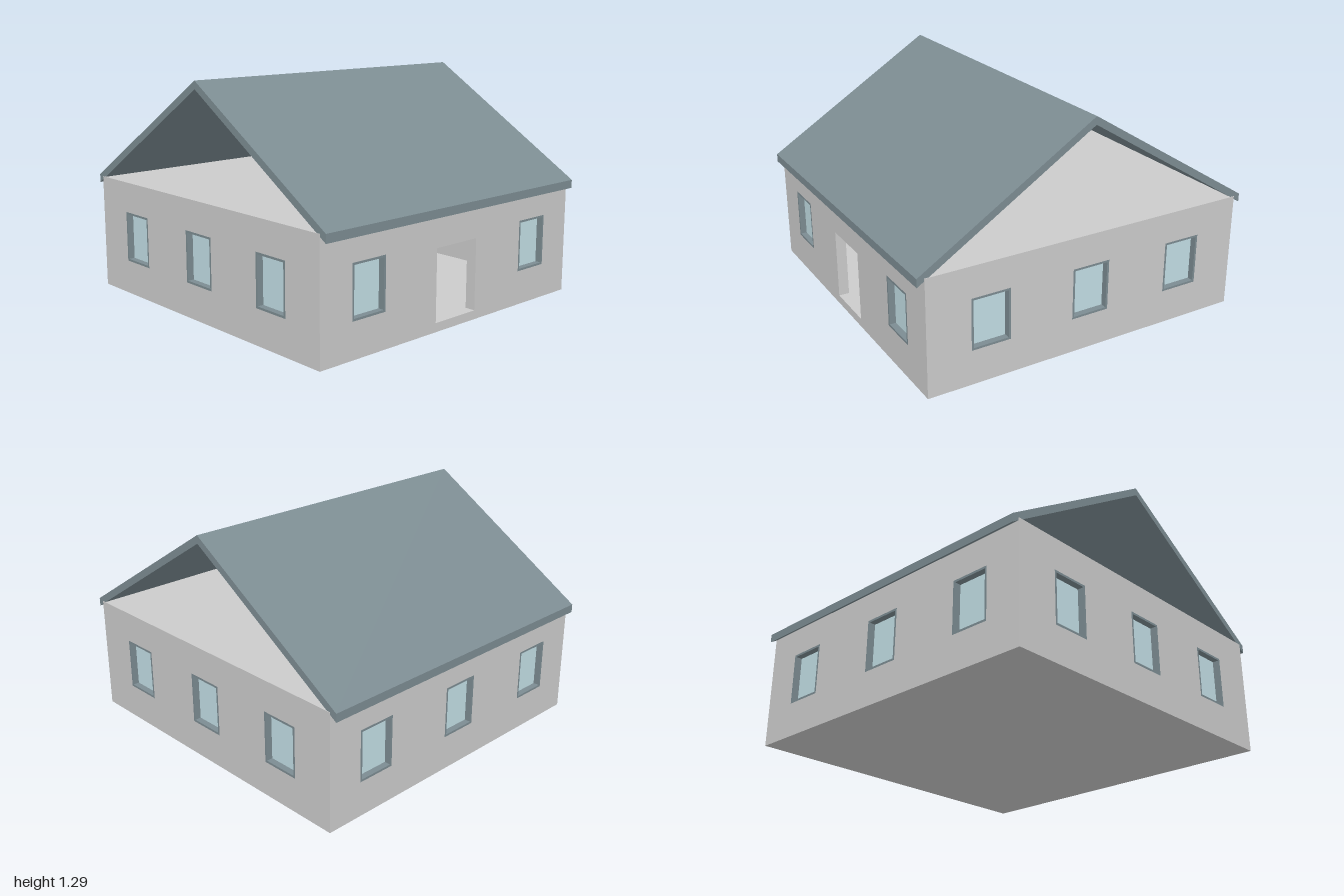
import * as THREE from 'three';

const HALF = 0.96;          // half the footprint
const WALL_H = 0.66;
const T = 0.06;             // wall thickness
const SLAB = 0.05;
const WIN = { w: 0.225, y0: 0.195, y1: 0.485, border: 0.012 };
const DOOR = { w: 0.31, y0: SLAB, y1: 0.45 };

const wallMat = new THREE.MeshStandardMaterial({ color: 0xcccccc });
const slateMat = new THREE.MeshStandardMaterial({ color: 0x7c8c92 });
const glassMat = new THREE.MeshStandardMaterial({ color: 0xc2dee5 });

function rect(PathType, cx, w, y0, y1) {
  return new PathType([
    [cx - w / 2, y0], [cx + w / 2, y0], [cx + w / 2, y1], [cx - w / 2, y1],
  ].map(([x, y]) => new THREE.Vector2(x, y)));
}

function addMesh(parent, name, geometry, material) {
  const mesh = new THREE.Mesh(geometry, material);
  mesh.name = name;
  parent.add(mesh);
  return mesh;
}

const extrude = (shape, depth) => new THREE.ExtrudeGeometry(shape, { depth, bevelEnabled: false });

// Slate surround flush with the wall face, with the pane set back behind it
function addWindow(wall, cx) {
  const win = new THREE.Group();
  win.name = 'window';
  const { w, y0, y1, border } = WIN;
  const ring = rect(THREE.Shape, 0, w, y0, y1);
  ring.holes.push(rect(THREE.Path, 0, w - 2 * border, y0 + border, y1 - border));
  addMesh(win, 'windowFrame', extrude(ring, 0.038), slateMat).position.z = -0.038;
  const pane = addMesh(win, 'windowGlass', new THREE.BoxGeometry(w, y1 - y0, 0.012), glassMat);
  pane.position.set(0, (y0 + y1) / 2, -0.042);
  win.position.x = cx;
  wall.add(win);
}

// One wall facing +z, then turned about the vertical axis into place
function makeWall(name, halfWidth, angle, windows, hasDoor) {
  const wall = new THREE.Group();
  wall.name = name;
  const shape = rect(THREE.Shape, 0, 2 * halfWidth, 0, WALL_H);
  for (const cx of windows) shape.holes.push(rect(THREE.Path, cx, WIN.w, WIN.y0, WIN.y1));
  if (hasDoor) shape.holes.push(rect(THREE.Path, 0, DOOR.w, DOOR.y0, DOOR.y1));
  addMesh(wall, 'wallPanel', extrude(shape, T), wallMat).position.z = -T;
  windows.forEach((cx) => addWindow(wall, cx));
  wall.rotation.y = angle;
  wall.position.set(HALF * Math.sin(angle), 0, HALF * Math.cos(angle));
  return wall;
}

export function createModel() {
  const house = new THREE.Group();
  house.name = 'house';

  // Four walls; the doorway is an open hole in the front
  const inner = HALF - T;
  house.add(
    makeWall('frontWall', HALF, 0, [-0.64, 0.64], true),
    makeWall('backWall', HALF, Math.PI, [-0.64, 0, 0.64], false),
    makeWall('leftWall', inner, Math.PI / 2, [-0.6, 0, 0.6], false),
    makeWall('rightWall', inner, -Math.PI / 2, [-0.6, 0, 0.6], false),
  );

  // Floor and ceiling slabs between the walls
  for (const [name, y] of [['floor', SLAB / 2], ['ceiling', WALL_H - SLAB / 2]]) {
    const slab = new THREE.BoxGeometry(2 * inner, SLAB, 2 * inner);
    addMesh(house, name, slab, wallMat).position.y = y;
  }

  // Gable roof: a chevron section swept along x, open at both ends
  const section = new THREE.Shape([
    [-1, 0.62], [0, 1.245], [1, 0.62], [1, 0.667], [0, 1.29], [-1, 0.667],
  ].map(([z, y]) => new THREE.Vector2(z, y)));
  const roofHalf = 0.957;
  const roof = addMesh(house, 'roof', extrude(section, 2 * roofHalf), slateMat);
  roof.rotation.y = Math.PI / 2;
  roof.position.x = -roofHalf;

  return house;
}
